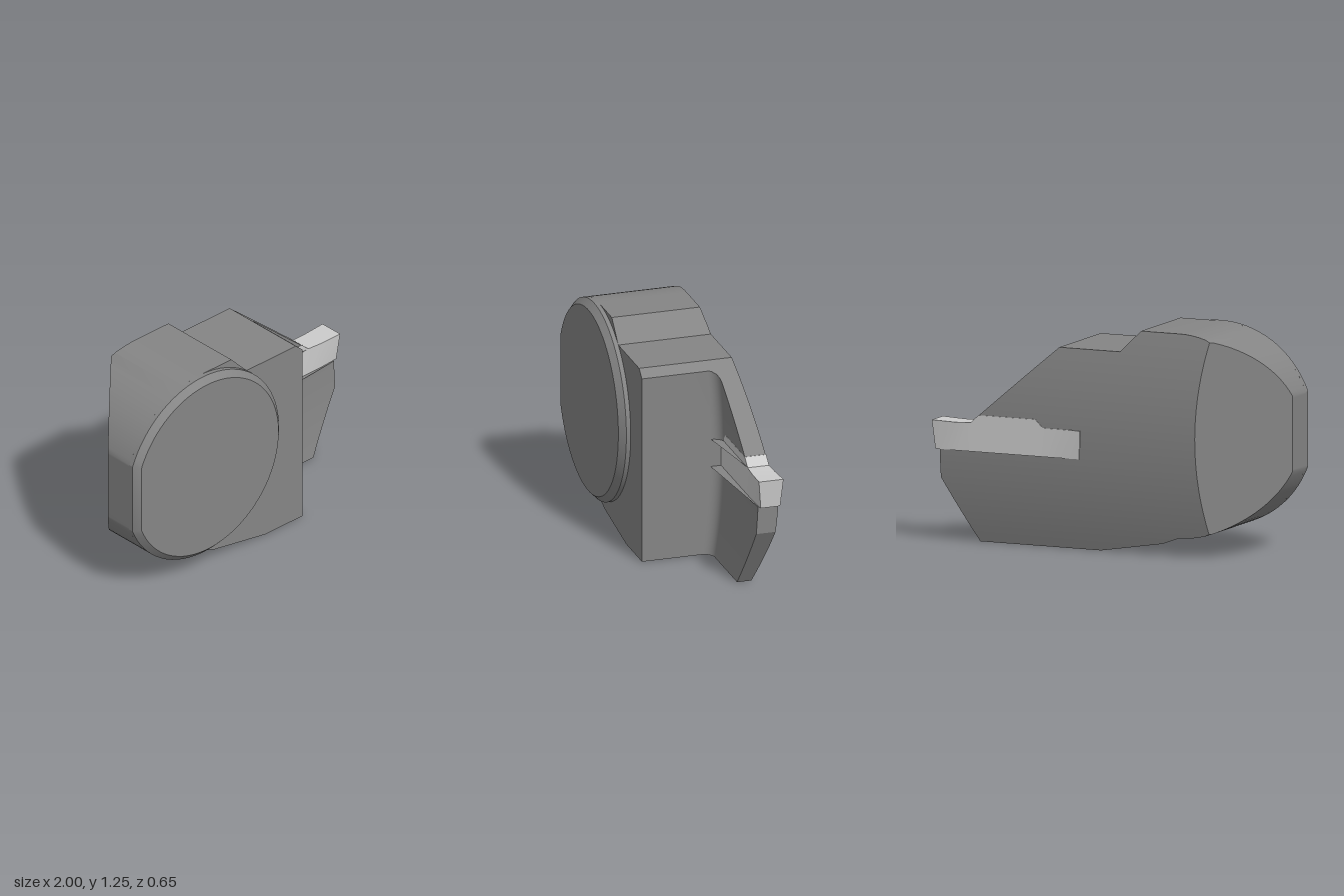
import * as THREE from 'three';
import { toCreasedNormals } from 'three/addons/utils/BufferGeometryUtils.js';

// Skin a list of equal-length closed loops, cap both ends, keep hard edges sharp.
// u and v are the two axes (0 = x, 1 = y, 2 = z) the loops lie in.
function loft(loops, u, v, crease = 0.4) {
  const tris = [];
  const n = loops[0].length;
  const add = (a, b, c) => tris.push([a, b, c].map((p) => new THREE.Vector3(...p)));
  for (let i = 0; i + 1 < loops.length; i++) {
    for (let j = 0; j < n; j++) {
      const k = (j + 1) % n;
      add(loops[i][j], loops[i][k], loops[i + 1][k]);
      add(loops[i][j], loops[i + 1][k], loops[i + 1][j]);
    }
  }
  // Turn the sides outward
  let volume = 0;
  const first = new THREE.Vector3(...loops[0][0]);
  const last = new THREE.Vector3(...loops[loops.length - 1][0]);
  const mid = first.clone().add(last).multiplyScalar(0.5);
  for (const [a, b, c] of tris) {
    volume += a.clone().sub(mid).dot(b.clone().sub(mid).cross(c.clone().sub(mid)));
  }
  if (volume < 0) tris.forEach((t) => t.reverse());
  // End caps
  const axis = 3 - u - v;
  const along = Math.sign(last.getComponent(axis) - first.getComponent(axis));
  for (const [loop, dir] of [[loops[0], -along], [loops[loops.length - 1], along]]) {
    const flat = loop.map((p) => new THREE.Vector2(p[u], p[v]));
    for (const f of THREE.ShapeUtils.triangulateShape(flat, [])) {
      const t = f.map((i) => new THREE.Vector3(...loop[i]));
      const normal = t[1].clone().sub(t[0]).cross(t[2].clone().sub(t[0]));
      tris.push(normal.getComponent(axis) * dir < 0 ? t.reverse() : t);
    }
  }
  const solid = tris.filter(([a, b, c]) => b.clone().sub(a).cross(c.clone().sub(a)).length() > 1e-8);
  const geometry = new THREE.BufferGeometry().setFromPoints(solid.flat());
  geometry.computeVertexNormals();
  return toCreasedNormals(geometry, crease);
}

const CX = -0.47, CY = 0.675, R = 0.57;   // round head
const WALL = 0.3, FILLET = 0.06, FRONT = 0.265;

// Curved back and front of the blade
const backZ = (y) => -0.315 + (y - 0.67) ** 2 / 4.72;
const bladeZ = (y) => -0.195 + (y - 0.67) ** 2 / 7.8;

// Left edge of the body: sloped foot, then the clipped circle
function leftX(y) {
  if (y <= 0.065) return 0.02 - 0.38 * (y / 0.065);
  if (y < 0.105) return -0.36 - 0.08 * ((y - 0.065) / 0.04);
  return Math.max(-1, CX - Math.sqrt(Math.max(0, R * R - (y - CY) ** 2)));
}

// Horizontal section of the body at height y
function bodySection(y, xr) {
  const xl = leftX(y), zb = backZ(y), zf = bladeZ(y);
  const loop = [
    [xl, y, FRONT],
    [xl, y, Math.max(zb, -0.91 - xl)],
    [Math.max(xl, -0.91 - zb), y, zb],
    [xr, y, zb],
  ];
  const filletZ = (x) => {
    const d = Math.min(FILLET, Math.max(0, WALL + FILLET - x));
    return zf + FILLET - Math.sqrt(FILLET * FILLET - d * d);
  };
  loop.push([xr, y, filletZ(xr)]);
  for (let i = 0; i <= 6; i++) {
    const x = Math.min(xr, WALL + FILLET * (1 - Math.sin((i / 6) * Math.PI / 2)));
    loop.push([x, y, filletZ(x)]);
  }
  loop.push([Math.min(xr, WALL), y, FRONT]);
  return loop;
}

function bodyGeometry() {
  // Right edge, bottom to top, with the insert slot and the top step
  const right = [
    [0.755, 0], [0.96, 0.355], [0.96, 0.515], [WALL, 0.515], [WALL, 0.675],
    [0.77, 0.675], [0.25, 1.125], [-0.12, 1.125], [-0.235, 1.245],
  ];
  const heights = [0.03, 0.065, 0.465, 0.885, 1.03, 1.05, 1.065, 1.081];
  for (let i = 0; i <= 44; i++) heights.push(CY - R * Math.cos((i / 44) * Math.PI));
  heights.sort((a, b) => a - b);
  const rows = [bodySection(0, right[0][0])];
  for (let i = 1; i < right.length; i++) {
    const [x0, y0] = right[i - 1], [x1, y1] = right[i];
    for (const y of heights) {
      if (y > y0 + 1e-4 && y < y1 - 1e-4) {
        rows.push(bodySection(y, x0 + (x1 - x0) * (y - y0) / (y1 - y0)));
      }
    }
    rows.push(bodySection(y1, x1));
  }
  return loft(rows, 0, 2);
}

// Chamfered round plate with one flat side
function plateLoop(radius, flatX, z) {
  const half = Math.acos((CX - flatX) / radius);
  const loop = [];
  for (let i = 0; i <= 72; i++) {
    const a = -Math.PI + half + (i / 72) * 2 * (Math.PI - half);
    loop.push([CX + radius * Math.cos(a), CY + radius * Math.sin(a), z]);
  }
  return loop;
}

// Double-ended cutting insert: [x top, x bottom, top y, half width top, half width bottom]
function insertGeometry() {
  const stations = [
    [0.1, 0.11, 0.675, 0.071, 0.058],
    [0.24, 0.24, 0.675, 0.063, 0.063],
    [0.33, 0.33, 0.675, 0.062, 0.063],
    [0.375, 0.375, 0.72, 0.062, 0.063],
    [0.72, 0.72, 0.72, 0.062, 0.063],
    [0.77, 0.77, 0.675, 0.062, 0.063],
    [0.86, 0.86, 0.672, 0.066, 0.063],
    [1.0, 0.985, 0.677, 0.071, 0.056],
  ];
  const z = -0.256, bottom = 0.515;
  return loft(stations.map(([xt, xb, top, wt, wb]) => [
    [xb, bottom, z - wb], [xb, bottom, z + wb], [xt, top, z + wt], [xt, top, z - wt],
  ]), 2, 1, 0.15);
}

export function createModel() {
  const group = new THREE.Group();
  group.name = 'groovingToolHead';
  const steel = new THREE.MeshStandardMaterial({ color: 0x858585 });
  const carbide = new THREE.MeshStandardMaterial({ color: 0xcccccc });
  const part = (name, geometry, material) => {
    const mesh = new THREE.Mesh(geometry, material);
    mesh.name = name;
    group.add(mesh);
  };
  part('bodyAndBlade', bodyGeometry(), steel);
  part('roundMountingPlate', loft([
    plateLoop(R, -1, FRONT - 0.005),
    plateLoop(R, -1, 0.29),
    plateLoop(R - 0.035, -0.965, 0.325),
  ], 0, 1), steel);
  part('cuttingInsert', insertGeometry(), carbide);
  return group;
}
